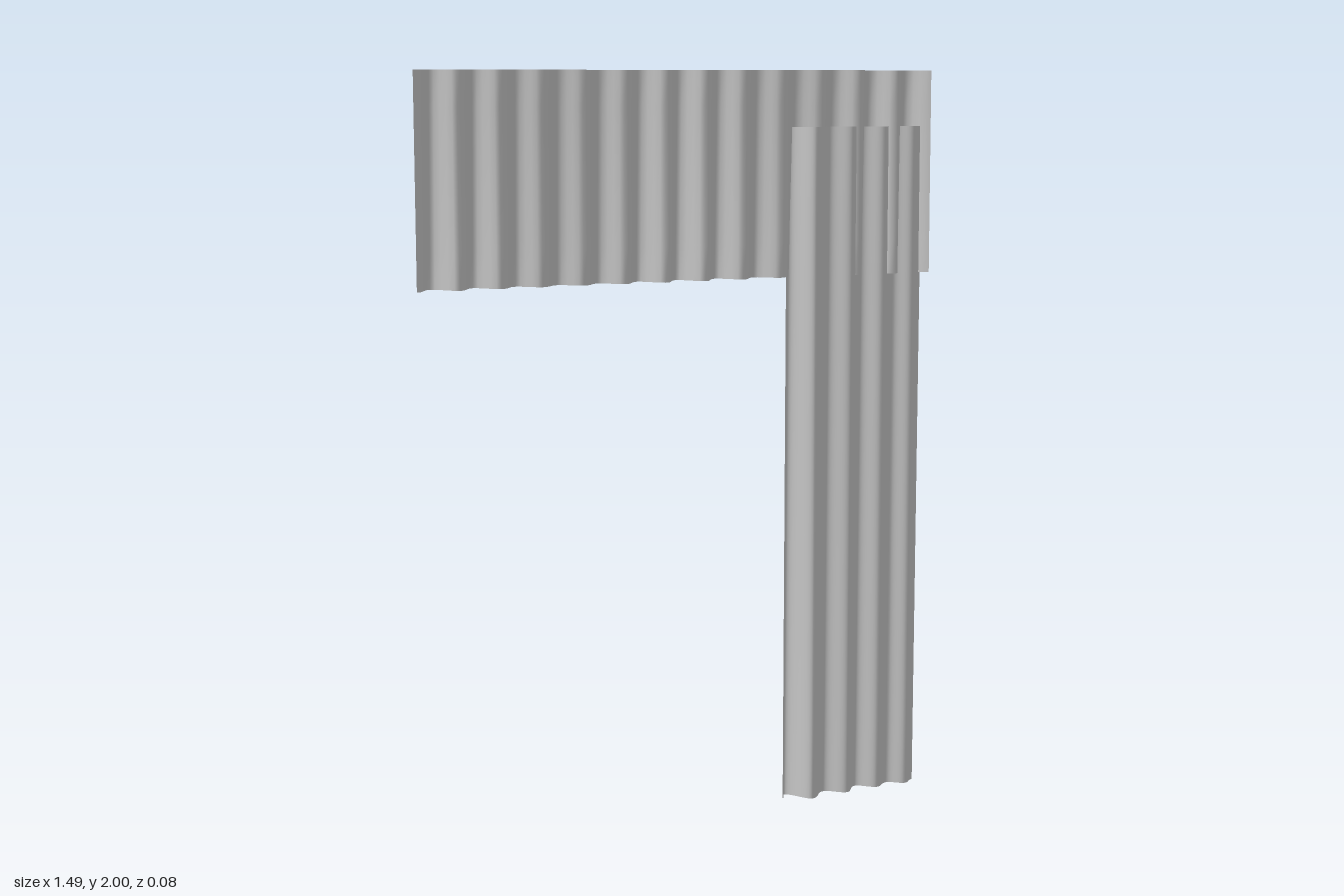
import * as THREE from 'three';

// Hanging sheet: a plane whose z follows a rule depth(x, v), v = 0 at the hem and 1 at the top
function pleatedSheet(name, x0, x1, y0, y1, columns, rows, depth) {
  const geometry = new THREE.PlaneGeometry(x1 - x0, y1 - y0, columns, rows);
  geometry.translate((x0 + x1) / 2, (y0 + y1) / 2, 0);
  const p = geometry.attributes.position;
  for (let i = 0; i < p.count; i++) {
    p.setZ(i, depth(p.getX(i), (p.getY(i) - y0) / (y1 - y0)));
  }
  geometry.computeVertexNormals();
  const material = new THREE.MeshStandardMaterial({ color: 0xcccccc, side: THREE.DoubleSide });
  const mesh = new THREE.Mesh(geometry, material);
  mesh.name = name;
  return mesh;
}

// Regular pleats whose depth swells and fades along the width and grows toward the hem
function valanceDepth(x, v) {
  const swell = 0.027 + 0.006 * Math.cos((2 * Math.PI * x) / 0.69);
  const wave = -Math.cos((2 * Math.PI * x) / 0.1145);
  return THREE.MathUtils.lerp(-0.009, -0.003, v) + wave * swell * THREE.MathUtils.lerp(1, 0.72, v);
}

// Crests and troughs of the side curtain at its hem: [x, z]
const folds = [
  [0.305, 0.005], [0.325, -0.026], [0.38, 0.042], [0.44, -0.006], [0.495, 0.031],
  [0.545, -0.014], [0.597, 0.022], [0.643, -0.006], [0.688, 0.022], [0.725, -0.002],
];

// Smooth S-curve between neighbouring folds, slightly shallower at the top
function curtainDepth(x, v) {
  let i = 0;
  while (i < folds.length - 2 && x > folds[i + 1][0]) i++;
  const [xa, za] = folds[i];
  const [xb, zb] = folds[i + 1];
  const t = THREE.MathUtils.clamp((x - xa) / (xb - xa), 0, 1);
  const s = 0.5 - 0.5 * Math.cos(Math.PI * t);
  return THREE.MathUtils.lerp(za, zb, s) * THREE.MathUtils.lerp(1, 0.78, v);
}

export function createModel() {
  const group = new THREE.Group();
  group.name = 'pleatedCurtain';
  group.add(
    pleatedSheet('valance', -0.745, 0.74, 1.45, 2, 130, 6, valanceDepth),
    pleatedSheet('sideCurtain', 0.305, 0.725, 0, 1.85, 84, 10, curtainDepth),
  );
  return group;
}
